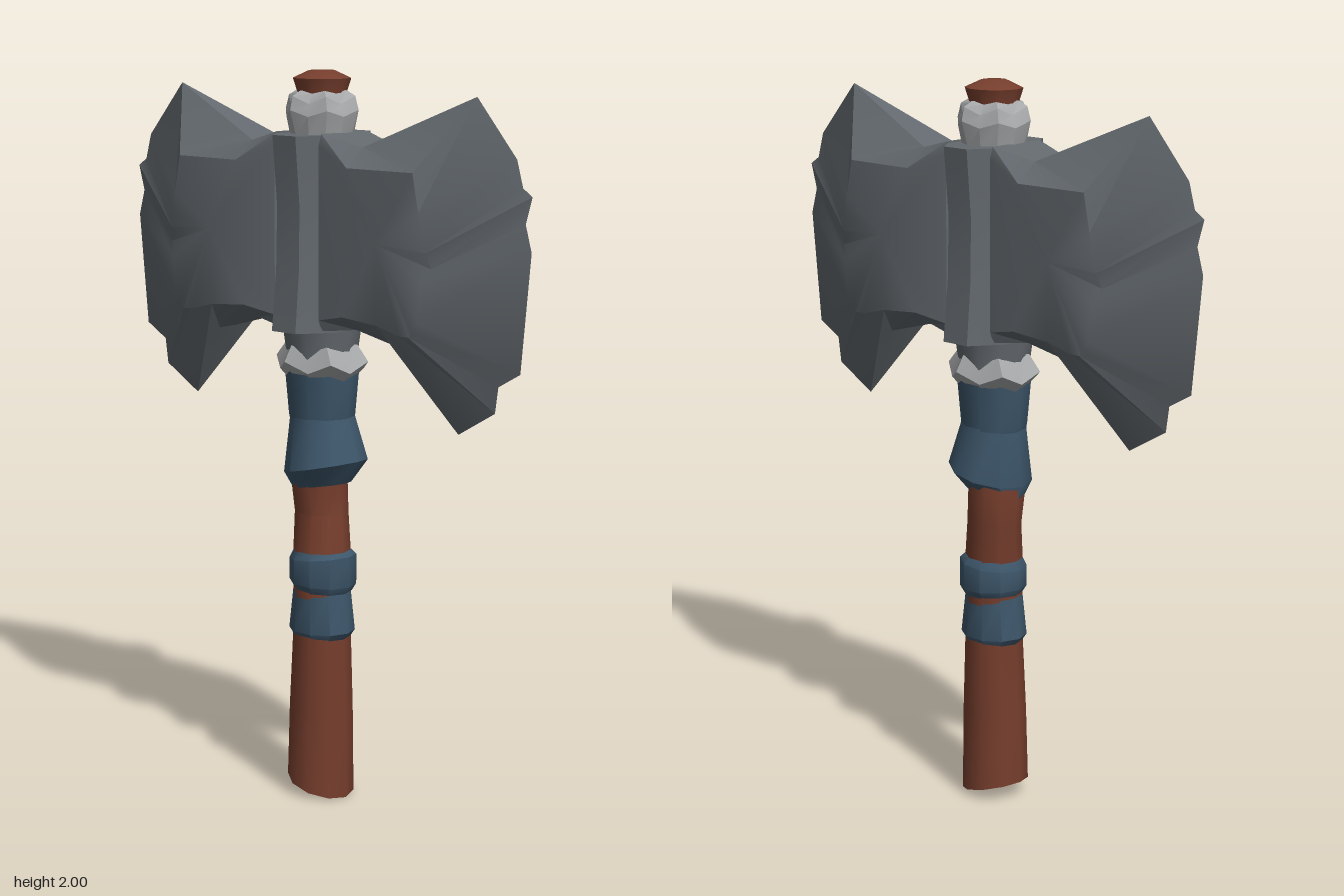
import * as THREE from 'three';
import { toCreasedNormals } from 'three/addons/utils/BufferGeometryUtils.js';

const material = (name, color) => {
  const m = new THREE.MeshStandardMaterial({ color });
  m.name = name;
  return m;
};

// Triangle collector that drops degenerate faces
function soup() {
  const pos = [];
  return {
    tri(a, b, c) {
      const u = new THREE.Vector3().subVectors(b, a);
      const v = new THREE.Vector3().subVectors(c, a);
      if (u.cross(v).length() > 1e-7) for (const p of [a, b, c]) pos.push(p.x, p.y, p.z);
    },
    build(crease) {
      const g = new THREE.BufferGeometry();
      g.setAttribute('position', new THREE.Float32BufferAttribute(pos, 3));
      return toCreasedNormals(g, crease);
    },
  };
}

// Closed loft through rings [y, centreX, centreZ, radiusX, radiusZ, tilt, jag]
function loft(rings, sides = 10, phase = 0, crease = 0.7) {
  const s = soup();
  const pts = rings.map(([y, cx, cz, rx, rz, tilt = 0, jag = 0]) =>
    Array.from({ length: sides }, (_, i) => {
      const a = phase + (i / sides) * Math.PI * 2;
      const wave = i % 2 ? jag : -jag;
      return new THREE.Vector3(
        cx + Math.cos(a) * (rx + wave * 0.6),
        y + Math.cos(a) * tilt + wave,
        cz + Math.sin(a) * (rz + wave * 0.6));
    }));
  const mid = (r) => new THREE.Vector3(r[1], r[0], r[2]);
  const last = rings.length - 1;
  for (let i = 0; i < sides; i++) {
    const k = (i + 1) % sides;
    for (let j = 0; j < last; j++) {
      s.tri(pts[j][i], pts[j + 1][i], pts[j][k]);
      s.tri(pts[j][k], pts[j + 1][i], pts[j + 1][k]);
    }
    s.tri(mid(rings[0]), pts[0][i], pts[0][k]);
    s.tri(mid(rings[last]), pts[last][k], pts[last][i]);
  }
  return s.build(crease);
}

// Blade: [rimX, rimY, rimHalfThickness, ridgeX, ridgeY, ridgeZ], clockwise
const bladeProfile = [
  [0.08, 1.84, 0.09, 0.08, 1.81, 0.10],
  [0.20, 1.81, 0.06, 0.20, 1.76, 0.125],
  [0.53, 1.95, 0, 0.42, 1.76, 0.12],
  [0.66, 1.80, 0, 0.44, 1.66, 0.12],
  [0.68, 1.73, 0, 0.45, 1.60, 0.12],
  [0.71, 1.71, 0, 0.46, 1.56, 0.115],
  [0.69, 1.64, 0, 0.47, 1.52, 0.105],
  [0.71, 1.57, 0, 0.45, 1.48, 0.12],
  [0.68, 1.26, 0, 0.44, 1.38, 0.12],
  [0.61, 1.22, 0, 0.42, 1.355, 0.12],
  [0.60, 1.15, 0, 0.41, 1.34, 0.12],
  [0.48, 1.08, 0, 0.38, 1.34, 0.12],
  [0.36, 1.28, 0.03, 0.30, 1.36, 0.12],
  [0.18, 1.33, 0.06, 0.18, 1.37, 0.12],
  [0.08, 1.32, 0.09, 0.08, 1.35, 0.10],
];

function blade(side) {
  const s = soup();
  const tri = (a, b, c) => (side > 0 ? s.tri(a, b, c) : s.tri(a, c, b));
  const V = (x, y, z) => new THREE.Vector3(side * x, y, z);
  const n = bladeProfile.length;
  for (let i = 0; i < n; i++) {
    const p = bladeProfile[i], q = bladeProfile[(i + 1) % n];
    for (const f of [1, -1]) {
      const face = (a, b, c) => (f > 0 ? tri(a, b, c) : tri(a, c, b));
      const o1 = V(p[0], p[1], f * p[2]), o2 = V(q[0], q[1], f * q[2]);
      const r1 = V(p[3], p[4], f * p[5]), r2 = V(q[3], q[4], f * q[5]);
      face(o1, r1, r2);
      face(o1, r2, o2);
      face(V(0.3, 1.57, f * 0.125), r2, r1);
    }
    // rim strip between the front and back faces
    const a = V(p[0], p[1], p[2]), b = V(q[0], q[1], q[2]);
    const c = V(q[0], q[1], -q[2]), d = V(p[0], p[1], -p[2]);
    tri(a, b, c);
    tri(a, c, d);
  }
  return s.build(0.5);
}

export function createModel() {
  const model = new THREE.Group();
  model.name = 'doubleAxe';
  const steel = material('steel', 0x63696e);
  const wood = material('wood', 0x763e2d);
  const wrap = material('blueWrap', 0x3d566a);
  const fur = material('paleCollar', 0xa6a8a9);
  const add = (name, geometry, mat) => {
    const mesh = new THREE.Mesh(geometry, mat);
    mesh.name = name;
    model.add(mesh);
  };

  // Wooden shaft, slightly crooked, with a slanted foot
  add('handle', loft([
    [0.03, -0.005, 0, 0.095, 0.088, -0.025],
    [0.25, -0.003, 0, 0.09, 0.085],
    [0.47, 0, 0, 0.08, 0.08],
    [0.70, 0, 0, 0.08, 0.078],
    [0.80, -0.018, -0.018, 0.077, 0.07],
    [0.90, -0.02, -0.01, 0.077, 0.08],
    [1.20, 0, 0, 0.075, 0.075],
    [1.88, 0, 0, 0.06, 0.06],
  ]), wood);
  add('handleTip', loft([
    [1.88, 0, 0, 0.06, 0.06],
    [1.93, 0, 0, 0.062, 0.062],
    [1.98, 0, 0, 0.08, 0.075],
    [2.0, 0, 0, 0.035, 0.035],
  ]), wood);

  // Cloth wraps
  add('lowerWrapBottom', loft([
    [0.455, 0, 0, 0.08, 0.075],
    [0.475, 0, 0, 0.095, 0.085],
    [0.59, 0, 0, 0.08, 0.078],
  ]), wrap);
  add('lowerWrapTop', loft([
    [0.59, 0.003, 0, 0.082, 0.078, -0.005],
    [0.61, 0.003, 0, 0.094, 0.09, -0.005],
    [0.68, 0.003, 0, 0.094, 0.09, 0.01],
    [0.70, 0.003, 0, 0.08, 0.078],
  ]), wrap);
  add('upperWrapBottom', loft([
    [0.88, 0, 0, 0.09, 0.065, 0.015],
    [0.935, 0.014, 0, 0.118, 0.11, 0.025],
    [1.09, 0, 0, 0.085, 0.085],
  ]), wrap);
  add('upperWrapTop', loft([
    [1.05, 0, 0, 0.085, 0.085],
    [1.075, 0, 0, 0.092, 0.088],
    [1.20, 0, 0, 0.102, 0.1],
  ]), wrap);

  // Jagged collars under and over the head
  add('lowerCollar', loft([
    [1.185, 0, 0, 0.10, 0.09, 0, 0.01],
    [1.215, 0, 0, 0.132, 0.112, 0, 0.014],
    [1.265, 0, 0, 0.10, 0.095, 0, 0.008],
  ], 12, 0.2, 0.35), fur);
  add('upperCollar', loft([
    [1.83, 0, 0, 0.085, 0.085],
    [1.89, 0, 0, 0.102, 0.098, 0, 0.008],
    [1.925, 0, 0, 0.09, 0.09, 0, 0.01],
    [1.945, 0, 0, 0.068, 0.068, 0, 0.004],
  ], 12, 0.2, 0.35), fur);

  // Axe head
  add('headSleeve', loft([
    [1.23, 0, 0, 0.095, 0.095],
    [1.33, 0, 0, 0.108, 0.11],
  ]), steel);
  add('headSocket', loft([
    [1.315, 0, 0, 0.112, 0.163],
    [1.48, 0, 0, 0.108, 0.146],
    [1.65, 0, 0, 0.106, 0.142],
    [1.835, 0, 0, 0.108, 0.16],
  ], 8, Math.PI / 8, 0.5), steel);
  add('leftBlade', blade(1), steel);
  add('rightBlade', blade(-1), steel);

  return model;
}
